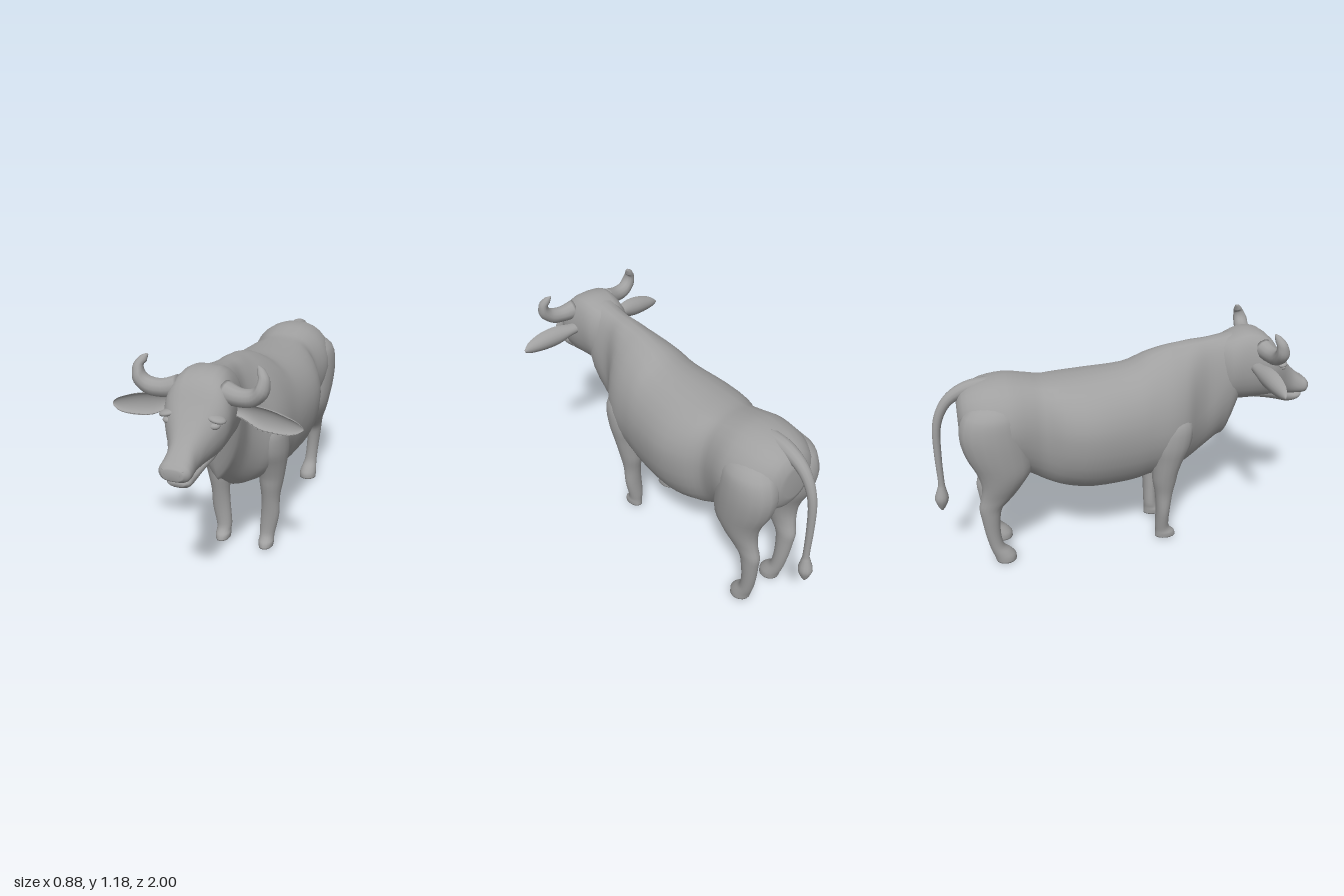
import * as THREE from 'three';

const hide = new THREE.MeshStandardMaterial({ color: 0xa0a0a0 });
hide.name = 'grey hide';

// Smooth a table of section rows by inserting Catmull-Rom steps
function refine(rows, steps) {
  const out = [];
  const at = (i) => rows[Math.max(0, Math.min(rows.length - 1, i))];
  for (let i = 0; i < rows.length - 1; i++) {
    for (let k = 0; k < steps; k++) {
      const t = k / steps;
      out.push(rows[i].map((b, j) => {
        const a = at(i - 1)[j], c = at(i + 1)[j], d = at(i + 2)[j];
        return b + 0.5 * t * (c - a + t * (2 * a - 5 * b + 4 * c - d + t * (3 * (b - c) + d - a)));
      }));
    }
  }
  out.push(rows[rows.length - 1]);
  return out;
}

// Closed skin through cross-sections; ring(row, angle) gives a point [x, y, z]
function loft(name, rows, ring, sides = 20, steps = 3) {
  const secs = refine(rows, steps), pos = [], idx = [];
  for (const row of secs) {
    for (let j = 0; j < sides; j++) pos.push(...ring(row, (j / sides) * Math.PI * 2));
  }
  const last = secs.length - 1;
  for (let i = 0; i < last; i++) {
    for (let j = 0; j < sides; j++) {
      const a = i * sides + j, b = i * sides + (j + 1) % sides;
      idx.push(a, b, a + sides, b, b + sides, a + sides);
    }
  }
  // End caps
  for (const [start, flip] of [[0, true], [last * sides, false]]) {
    const mid = [0, 0, 0];
    for (let j = 0; j < sides; j++) for (let k = 0; k < 3; k++) mid[k] += pos[(start + j) * 3 + k] / sides;
    const m = pos.length / 3;
    pos.push(...mid);
    for (let j = 0; j < sides; j++) {
      const a = start + j, b = start + (j + 1) % sides;
      if (flip) idx.push(m, b, a); else idx.push(m, a, b);
    }
  }
  // Turn the skin outwards if its enclosed volume is negative
  const v = (i) => new THREE.Vector3().fromArray(pos, i * 3);
  let volume = 0;
  for (let i = 0; i < idx.length; i += 3) volume += v(idx[i]).dot(v(idx[i + 1]).cross(v(idx[i + 2])));
  if (volume < 0) idx.reverse();
  const g = new THREE.BufferGeometry();
  g.setAttribute('position', new THREE.Float32BufferAttribute(pos, 3));
  g.setIndex(idx);
  g.computeVertexNormals();
  const mesh = new THREE.Mesh(g, hide);
  mesh.name = name;
  return mesh;
}

// Upright section: z, bottom, top, half width, height of widest point, top and bottom power
const upright = ([z, yb, yt, hw, yw, pt, pb], a) => {
  const c = Math.cos(a), s = Math.sin(a);
  return [
    Math.sign(c) * hw * Math.pow(Math.abs(c), s > 0 ? pt : pb),
    yw + s * (s > 0 ? yt - yw : yw - yb),
    z,
  ];
};

// Level section for legs: y, centre x, centre z, radius x, radius z
const level = (side) => ([y, cx, cz, rx, rz], a) =>
  [side * (cx + rx * Math.cos(a)), y, cz + rz * Math.sin(a)];

// Tapered tube along points of [x, y, z, radius]
function taper(name, pts, sides = 12) {
  const rows = refine(pts, 4);
  const mids = rows.map((r) => new THREE.Vector3(r[0], r[1], r[2]));
  const frames = new THREE.CatmullRomCurve3(mids).computeFrenetFrames(rows.length - 1);
  const tagged = rows.map((r, i) => [...r, i]);
  return loft(name, tagged, ([x, y, z, r, i], a) => {
    const n = frames.normals[i], b = frames.binormals[i], c = r * Math.cos(a), s = r * Math.sin(a);
    return [x + n.x * c + b.x * s, y + n.y * c + b.y * s, z + n.z * c + b.z * s];
  }, sides, 1);
}

function ellipsoid(name, p, r) {
  const mesh = new THREE.Mesh(new THREE.SphereGeometry(1, 16, 12), hide);
  mesh.name = name;
  mesh.position.set(...p);
  mesh.scale.set(...r);
  return mesh;
}

export function createModel() {
  const bull = new THREE.Group();
  bull.name = 'bull';

  // Rump, barrel, shoulders and neck
  bull.add(loft('body', [
    [-0.84, 0.72, 0.88, 0.07, 0.8, 0.9, 1],
    [-0.81, 0.65, 0.94, 0.14, 0.8, 0.9, 1],
    [-0.72, 0.58, 0.985, 0.205, 0.78, 0.9, 1],
    [-0.6, 0.52, 1.0, 0.225, 0.77, 0.9, 1],
    [-0.5, 0.46, 0.985, 0.205, 0.75, 0.8, 0.9],
    [-0.43, 0.415, 0.972, 0.2, 0.73, 0.75, 0.85],
    [-0.34, 0.38, 0.972, 0.25, 0.72, 0.85, 0.9],
    [-0.2, 0.357, 0.98, 0.277, 0.71, 0.95, 0.9],
    [0, 0.362, 1.0, 0.255, 0.7, 1, 0.9],
    [0.1, 0.38, 1.045, 0.24, 0.7, 1.1, 0.95],
    [0.2, 0.395, 1.075, 0.228, 0.7, 1.2, 1],
    [0.28, 0.41, 1.088, 0.2, 0.7, 1.2, 1.1],
    [0.35, 0.435, 1.095, 0.145, 0.72, 0.9, 1.2],
    [0.42, 0.48, 1.1, 0.112, 0.76, 0.8, 1.3],
    [0.5, 0.54, 1.11, 0.115, 0.85, 0.8, 1.5],
    [0.55, 0.57, 1.12, 0.115, 0.9, 0.8, 1.7],
    [0.6, 0.74, 1.125, 0.1, 0.94, 0.8, 1.4],
  ], upright, 28));

  // Skull and muzzle
  const head = new THREE.Group();
  head.name = 'head';
  head.add(loft('skull', [
    [0.48, 0.75, 1.09, 0.09, 0.95, 0.8, 1],
    [0.53, 0.76, 1.11, 0.125, 0.95, 0.7, 0.9],
    [0.61, 0.757, 1.138, 0.135, 0.96, 0.6, 0.9],
    [0.69, 0.757, 1.13, 0.146, 0.96, 0.6, 0.9],
    [0.75, 0.755, 1.09, 0.146, 0.95, 0.6, 0.95],
    [0.8, 0.755, 1.02, 0.122, 0.92, 0.6, 0.95],
    [0.85, 0.757, 0.955, 0.088, 0.87, 0.65, 0.8],
    [0.9, 0.757, 0.9, 0.068, 0.82, 0.7, 0.65],
    [0.95, 0.757, 0.858, 0.07, 0.8, 0.7, 0.6],
    [0.98, 0.76, 0.84, 0.068, 0.8, 0.65, 0.6],
    [1.0, 0.775, 0.82, 0.045, 0.798, 0.7, 0.7],
  ], upright, 28));
  head.add(loft('lowerJaw', [
    [0.66, 0.765, 0.83, 0.08, 0.8, 0.8, 1],
    [0.75, 0.748, 0.82, 0.085, 0.79, 0.8, 1],
    [0.82, 0.728, 0.8, 0.068, 0.77, 0.8, 0.9],
    [0.89, 0.708, 0.775, 0.053, 0.745, 0.8, 0.8],
    [0.94, 0.715, 0.765, 0.053, 0.742, 0.8, 0.8],
    [0.968, 0.735, 0.757, 0.035, 0.746, 0.8, 0.8],
  ], upright, 20));
  bull.add(head);

  for (const side of [1, -1]) {
    const tag = side > 0 ? 'left' : 'right';

    // Face details
    const eye = ellipsoid(tag + 'Eye', [side * 0.101, 0.945, 0.803], [0.026, 0.016, 0.022]);
    const brow = ellipsoid(tag + 'Brow', [side * 0.107, 0.972, 0.79], [0.042, 0.015, 0.035]);
    brow.rotation.z = -side * 0.25;
    const nostril = new THREE.Mesh(new THREE.TorusGeometry(0.014, 0.006, 8, 16), hide);
    nostril.name = tag + 'Nostril';
    nostril.position.set(side * 0.045, 0.803, 0.987);
    nostril.rotation.y = side * 0.6;
    head.add(eye, brow, nostril);

    // Horn sweeping out, up and in
    head.add(taper(tag + 'Horn', [
      [side * 0.1, 1.055, 0.69, 0.05],
      [side * 0.17, 1.042, 0.705, 0.041],
      [side * 0.235, 1.05, 0.712, 0.04],
      [side * 0.275, 1.088, 0.715, 0.037],
      [side * 0.28, 1.13, 0.705, 0.027],
      [side * 0.262, 1.158, 0.69, 0.018],
      [side * 0.246, 1.176, 0.68, 0.004],
    ]));

    // Cupped leaf ear: x, centre y, rim z, half height, depth
    head.add(loft(tag + 'Ear', [
      [0.11, 0.965, 0.655, 0.025, 0.03],
      [0.17, 0.962, 0.665, 0.032, 0.04],
      [0.24, 0.95, 0.68, 0.05, 0.05],
      [0.31, 0.942, 0.688, 0.05, 0.05],
      [0.37, 0.934, 0.69, 0.04, 0.04],
      [0.41, 0.929, 0.685, 0.027, 0.025],
      [0.438, 0.925, 0.675, 0.006, 0.005],
    ], ([x, y, z, h, d], a) => {
      const s = Math.sin(a);
      return [side * x, y + h * Math.cos(a), z + d * (s > 0 ? -0.55 * s : 1.1 * s)];
    }, 20));

    // Foreleg from shoulder to hoof
    bull.add(loft(tag + 'Foreleg', [
      [0.76, 0.16, 0.22, 0.04, 0.06],
      [0.7, 0.16, 0.215, 0.07, 0.1],
      [0.6, 0.15, 0.2, 0.085, 0.11],
      [0.52, 0.145, 0.19, 0.079, 0.088],
      [0.44, 0.144, 0.18, 0.067, 0.07],
      [0.38, 0.141, 0.177, 0.059, 0.063],
      [0.3, 0.138, 0.177, 0.048, 0.047],
      [0.2, 0.135, 0.175, 0.049, 0.037],
      [0.1, 0.122, 0.175, 0.042, 0.036],
      [0.065, 0.121, 0.183, 0.038, 0.042],
      [0.045, 0.121, 0.193, 0.04, 0.052],
      [0.02, 0.121, 0.196, 0.037, 0.057],
    ], level(side), 16));

    // Hind leg from haunch through hock to hoof
    bull.add(loft(tag + 'HindLeg', [
      [0.92, 0.1, -0.66, 0.05, 0.07],
      [0.86, 0.122, -0.675, 0.1, 0.14],
      [0.76, 0.128, -0.68, 0.113, 0.165],
      [0.65, 0.13, -0.665, 0.108, 0.16],
      [0.55, 0.135, -0.645, 0.09, 0.135],
      [0.47, 0.135, -0.66, 0.07, 0.102],
      [0.4, 0.13, -0.69, 0.05, 0.08],
      [0.34, 0.125, -0.725, 0.042, 0.06],
      [0.28, 0.122, -0.731, 0.039, 0.048],
      [0.18, 0.115, -0.728, 0.036, 0.039],
      [0.1, 0.11, -0.715, 0.037, 0.037],
      [0.06, 0.107, -0.692, 0.044, 0.05],
      [0.03, 0.105, -0.676, 0.05, 0.056],
      [0, 0.105, -0.672, 0.05, 0.053],
    ], level(side), 18));
  }

  // Hanging tail with a pointed tuft
  bull.add(taper('tail', [
    [0, 0.955, -0.66, 0.04],
    [0, 0.95, -0.76, 0.038],
    [0, 0.915, -0.85, 0.031],
    [0, 0.85, -0.91, 0.025],
    [0, 0.75, -0.946, 0.021],
    [0, 0.6, -0.956, 0.018],
    [0, 0.45, -0.957, 0.016],
    [0, 0.41, -0.96, 0.022],
    [0, 0.355, -0.965, 0.035],
    [0, 0.31, -0.968, 0.021],
    [0, 0.283, -0.97, 0.004],
  ]));
  return bull;
}
